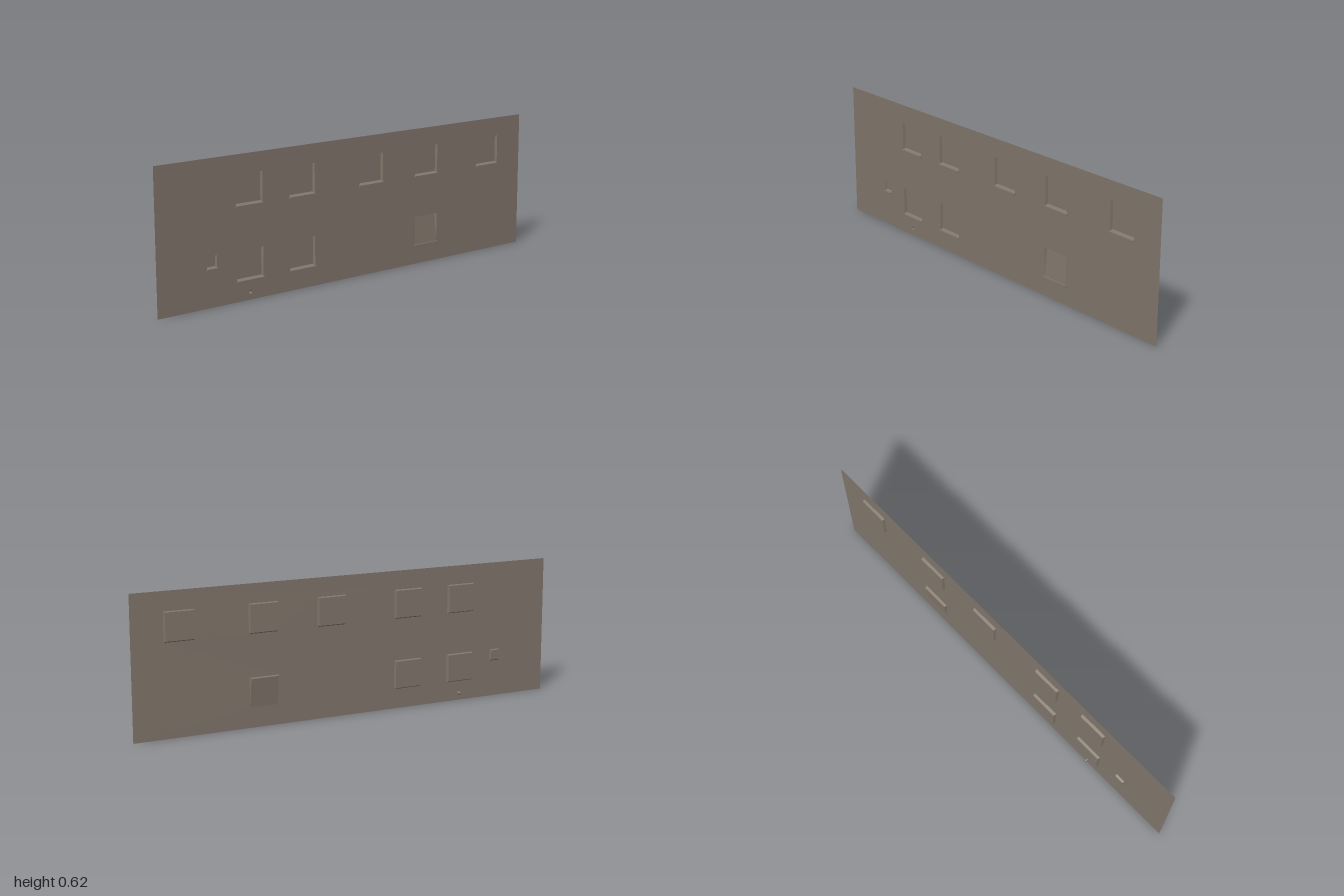
import * as THREE from 'three';

const WALL_X = 0.0025; // plane of the facade
const HEIGHT = 0.617;
const DEPTH = 0.0125;

// Window openings: centre z, bottom y, width, height, recess depth, slanted pane
const upper = [0.55, 0.28, -0.096, -0.416, -0.792].map((z) => ({ z, y: 0.404, w: 0.132, h: 0.129, d: DEPTH }));
const lower = [0.55, 0.28, -0.416].map((z) => ({ z, y: 0.088, w: 0.132, h: 0.129, d: DEPTH, slanted: z < 0 }));
const small = { z: 0.738, y: 0.164, w: 0.048, h: 0.053, d: 0.0095 };
const windows = [...upper, ...lower, small];
const vent = { z: 0.552, y: 0.032, r: 0.008 };

// Corners of an opening, anticlockwise, in the wall's own frame (u = -z, v = y, depth = x)
function corners({ z, y, w, h }, side = 0, bottom = 0, top = 0) {
  const l = -z - w / 2 + side, r = -z + w / 2 - side;
  return [[l, y + bottom], [r, y + bottom], [r, y + h - top], [l, y + h - top]];
}

// Flat-shaded quads
function quads(list) {
  const pos = [];
  for (const [a, b, c, d] of list) pos.push(...a, ...b, ...c, ...a, ...c, ...d);
  const g = new THREE.BufferGeometry();
  g.setAttribute('position', new THREE.Float32BufferAttribute(pos, 3));
  g.computeVertexNormals();
  return g;
}

// Splayed reveal closed by a pane
function recessGeometry(win) {
  const outer = corners(win).map(([u, v]) => [u, v, 0]);
  const inner = corners(win, 0.003, win.slanted ? 0 : 0.006, 0.003)
    .map(([u, v], i) => [u, v, win.slanted && i < 2 ? 0 : -win.d]);
  const faces = [inner];
  for (let i = 0; i < 4; i++) {
    const j = (i + 1) % 4;
    faces.push([outer[i], outer[j], inner[j], inner[i]]);
  }
  return quads(faces);
}

export function createModel() {
  const model = new THREE.Group();
  model.name = 'facade';
  const plaster = new THREE.MeshStandardMaterial({ color: 0x80756a, side: THREE.DoubleSide });
  plaster.name = 'taupe plaster';

  // Everything is built facing +z, then turned to face +x
  const wall = new THREE.Group();
  wall.name = 'wallAssembly';
  wall.rotation.y = Math.PI / 2;
  wall.position.x = WALL_X;
  model.add(wall);

  const add = (name, geometry, x = 0, y = 0, z = 0) => {
    const mesh = new THREE.Mesh(geometry, plaster);
    mesh.name = name;
    mesh.position.set(x, y, z);
    wall.add(mesh);
    return mesh;
  };

  // Wall sheet with openings
  const sheet = new THREE.Shape([[-1, 0], [1, 0], [1, HEIGHT], [-1, HEIGHT]].map((p) => new THREE.Vector2(...p)));
  for (const win of windows) {
    sheet.holes.push(new THREE.Path(corners(win).reverse().map((p) => new THREE.Vector2(...p))));
  }
  const ventHole = new THREE.Path();
  ventHole.absarc(-vent.z, vent.y, vent.r, 0, Math.PI * 2, true);
  sheet.holes.push(ventHole);
  add('wall', new THREE.ShapeGeometry(sheet, 8));

  // Recessed windows with projecting sills
  for (const win of windows) {
    add('windowRecess', recessGeometry(win));
    add('windowSill', new THREE.BoxGeometry(win.w + 0.006, 0.007, 0.007), -win.z, win.y - 0.0035, 0.0035);
  }

  // Small pipe recess with a flared rim
  const profile = [[0, -DEPTH], [0.005, -DEPTH], [0.005, -0.002], [vent.r, 0]].map((p) => new THREE.Vector2(...p));
  const pipe = add('ventPipe', new THREE.LatheGeometry(profile, 16), -vent.z, vent.y, 0);
  pipe.rotation.x = Math.PI / 2;

  return model;
}
